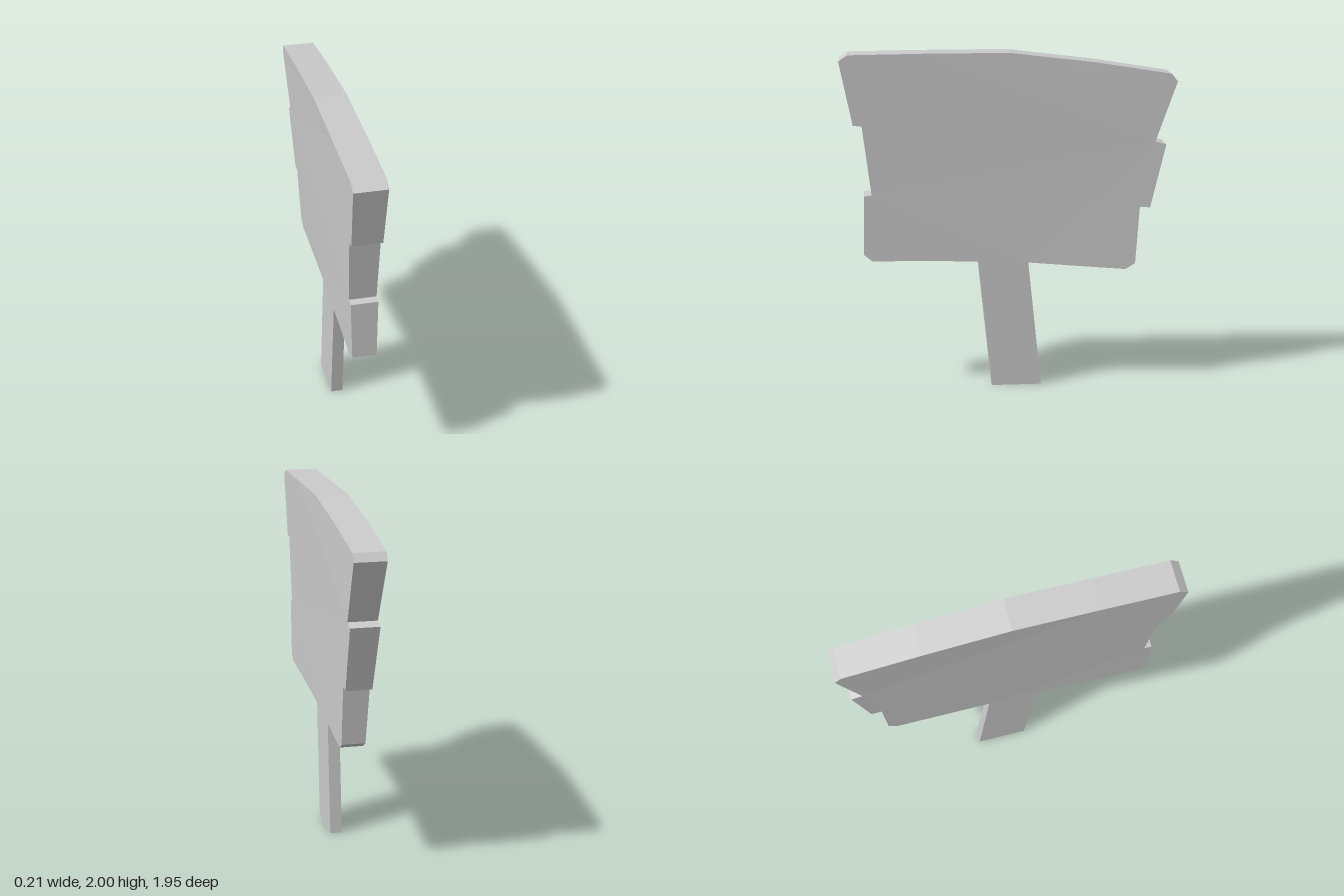
import * as THREE from 'three';

const lerp = THREE.MathUtils.lerp;

export function createModel() {
  const group = new THREE.Group();
  const material = new THREE.MeshStandardMaterial({ color: 0xcccccc, flatShading: true, side: THREE.DoubleSide });

  // Board outline as (z, y): arched top, notched plank ends, clipped corners
  const outline = [
    [0.975, 1.96], [0.925, 1.995], [0.5, 2], [0, 2], [-0.5, 1.94], [-0.94, 1.87], [-0.975, 1.825],
    [-0.85, 1.475], [-0.915, 1.458], [-0.825, 1.085], [-0.765, 1.09], [-0.742, 0.75], [-0.685, 0.715],
    [-0.1, 0.765], [0.5, 0.785], [0.8, 0.785], [0.85, 0.825], [0.845, 1.175], [0.8, 1.18], [0.85, 1.585], [0.9, 1.59],
  ].map(([z, y]) => new THREE.Vector2(z, y));
  const boardGeometry = new THREE.ExtrudeGeometry(new THREE.Shape(outline), { depth: 1, bevelEnabled: false });
  boardGeometry.translate(0, 0, -0.5).rotateY(-Math.PI / 2);

  // Warp both broad faces: the board thins and twists towards its lower edge
  const p = boardGeometry.attributes.position;
  for (let i = 0; i < p.count; i++) {
    const up = (p.getY(i) - 0.75) / 1.25;
    const front = (p.getZ(i) + 0.9) / 1.8;
    const x = p.getX(i) > 0
      ? lerp(lerp(0.105, 0.06, front), lerp(0.09, 0.08, front), up)
      : lerp(lerp(-0.03, -0.075, front), lerp(-0.1, -0.11, front), up);
    p.setX(i, x);
  }
  boardGeometry.computeVertexNormals();
  const board = new THREE.Mesh(boardGeometry, material);
  board.name = 'signBoard';
  group.add(board);

  // Leaning post: a square tube open at both ends, sheared towards the front
  const postGeometry = new THREE.CylinderGeometry(Math.SQRT1_2, Math.SQRT1_2, 0.8, 4, 1, true);
  postGeometry.rotateY(Math.PI / 4).scale(0.07, 1, 0.295).translate(0.007, 0.4, -0.045);
  const q = postGeometry.attributes.position;
  for (let i = 0; i < q.count; i++) q.setZ(i, q.getZ(i) + q.getY(i) * 0.104);
  postGeometry.computeVertexNormals();
  const post = new THREE.Mesh(postGeometry, material);
  post.name = 'post';
  group.add(post);

  return group;
}
